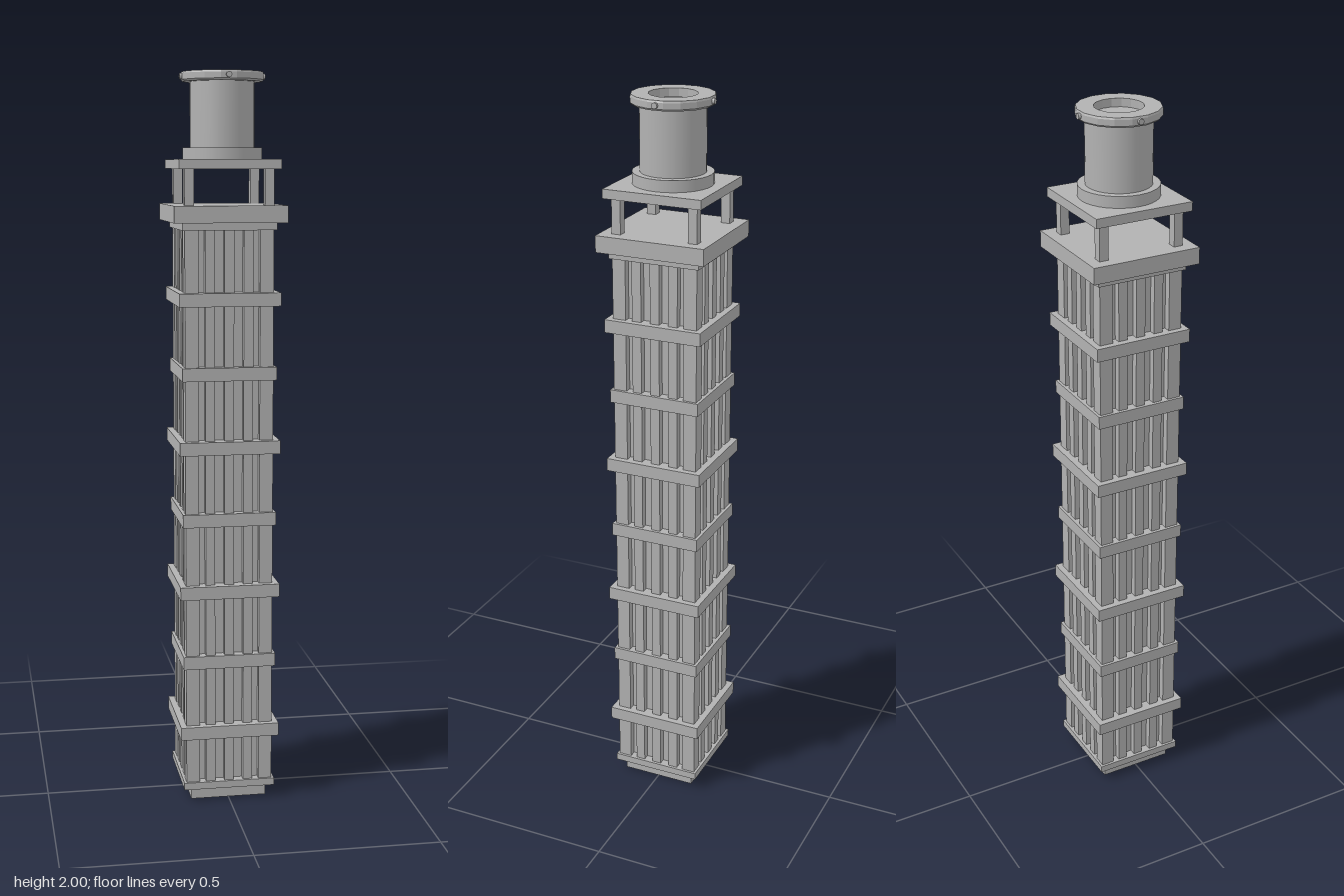
import * as THREE from 'three';

export function createModel() {
  const model = new THREE.Group();
  const stone = new THREE.MeshStandardMaterial({ color: 0xb2b2b2 });
  stone.name = 'grey stone';

  function add(name, geometry, x = 0, y = 0, z = 0) {
    const mesh = new THREE.Mesh(geometry, stone);
    mesh.name = name;
    mesh.position.set(x, y, z);
    model.add(mesh);
    return mesh;
  }
  // square slab given by half width and its bottom and top heights
  const slab = (name, half, y0, y1, x = 0, z = 0) =>
    add(name, new THREE.BoxGeometry(half * 2, y1 - y0, half * 2), x, (y0 + y1) / 2, z);

  // foot and shaft core
  slab('foot', 0.105, 0, 0.035);
  slab('footPlate', 0.127, 0.035, 0.055);
  slab('shaftCore', 0.1, 0.055, 1.585);

  // corner piers, and the open-storey posts above them
  for (const sx of [-1, 1]) for (const sz of [-1, 1]) {
    slab('cornerPier', 0.0185, 0.055, 1.585, sx * 0.1015, sz * 0.1015);
    slab('lanternPost', 0.0125, 1.65, 1.745, sx * 0.1075, sz * 0.1075);
  }

  // three vertical ribs on each face
  for (let side = 0; side < 4; side++) {
    const face = new THREE.Group();
    face.name = 'faceRibs';
    face.rotation.y = side * Math.PI / 2;
    for (const x of [-0.052, 0, 0.052]) {
      const rib = new THREE.Mesh(new THREE.BoxGeometry(0.026, 1.53, 0.024), stone);
      rib.name = 'rib';
      rib.position.set(x, 0.82, 0.107);
      face.add(rib);
    }
    model.add(face);
  }

  // floor bands, alternately wide and narrow
  for (let i = 1; i <= 7; i++) {
    slab('floorBand', i % 2 ? 0.137 : 0.128, i * 0.2 - 0.016, i * 0.2 + 0.02);
  }

  // cornice and roof plate of the open storey
  slab('corniceMoulding', 0.127, 1.585, 1.605);
  slab('cornice', 0.152, 1.605, 1.65);
  slab('roofPlate', 0.137, 1.745, 1.77);

  // round drum on its base ring
  add('drumBase', new THREE.CylinderGeometry(0.107, 0.107, 0.031, 32), 0, 1.7855, 0);
  add('drum', new THREE.CylinderGeometry(0.087, 0.087, 0.178, 32), 0, 1.889, 0);

  // sixteen-sided rim with a shallow round well
  const profile = [[0.064, 1.974], [0.106, 1.974], [0.111, 1.979], [0.111, 1.995],
    [0.109, 2], [0.064, 2], [0.064, 1.974]].map(([r, y]) => new THREE.Vector2(r, y));
  const rimGeometry = new THREE.LatheGeometry(profile, 16, Math.PI / 16).toNonIndexed();
  rimGeometry.computeVertexNormals();
  add('rim', rimGeometry);

  // small studs around the rim
  for (let i = 0; i < 4; i++) {
    const a = i * Math.PI / 2;
    const stud = add('rimStud', new THREE.CylinderGeometry(0.008, 0.008, 0.014, 8),
      Math.sin(a) * 0.109, 1.988, Math.cos(a) * 0.109);
    stud.rotation.set(Math.PI / 2, 0, -a);
  }
  return model;
}
